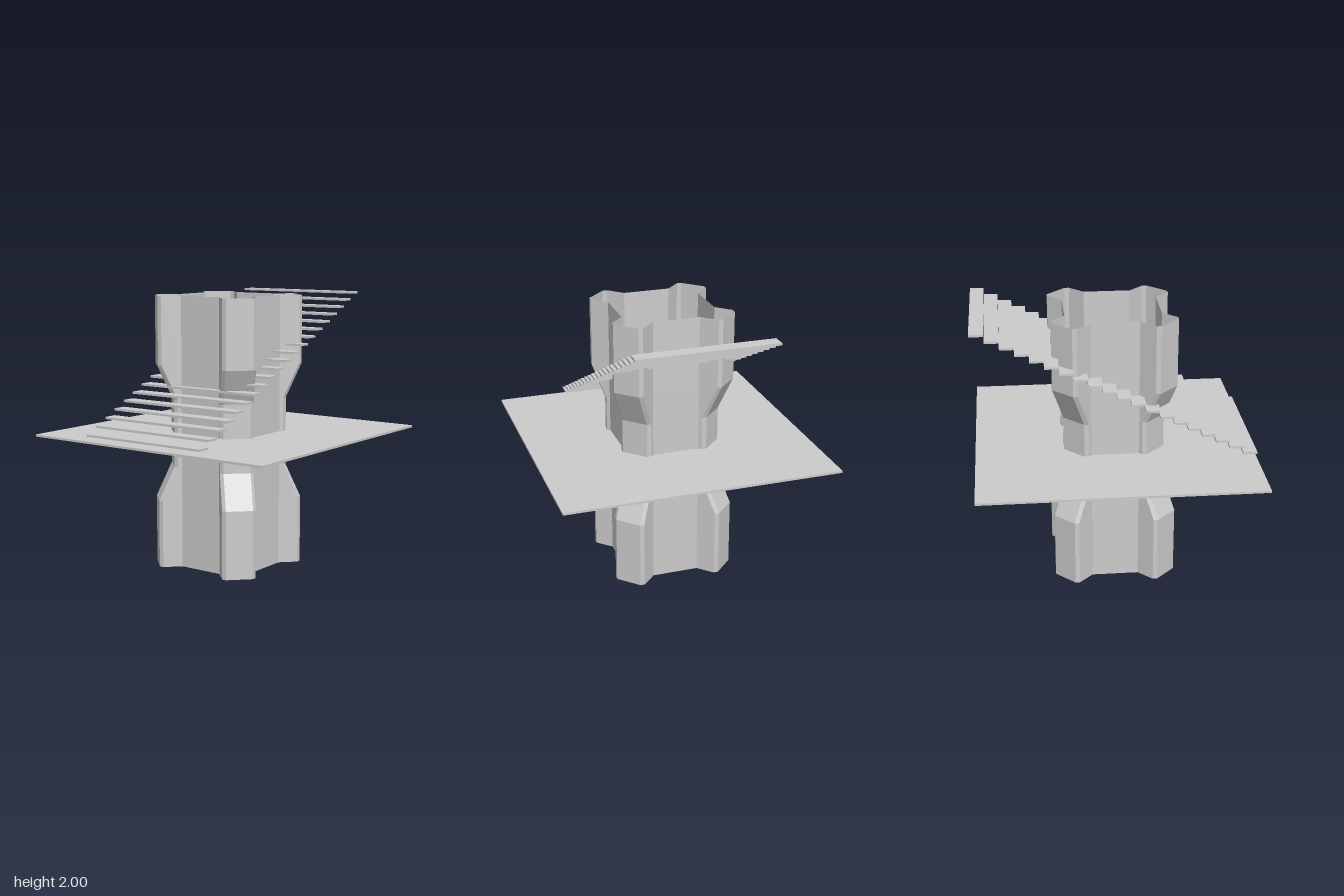
import * as THREE from 'three';

const material = new THREE.MeshStandardMaterial({ color: 0xcccccc, flatShading: true, side: THREE.DoubleSide });

function addMesh(parent, name, geometry) {
  const mesh = new THREE.Mesh(geometry, material);
  mesh.name = name;
  parent.add(mesh);
  return mesh;
}

// Slab with a top and four sides, open underneath
function openSlab(width, height, depth) {
  const geometry = new THREE.BoxGeometry(width, height, depth);
  const index = Array.from(geometry.index.array);
  index.splice(18, 6);
  geometry.setIndex(index);
  geometry.clearGroups();
  return geometry;
}

// Shaft outline: four corner lobes joined by flat recesses; pinch slides the lobes inward
function shaftSection(pinch) {
  const far = 0.443 - pinch, a = 0.272 - pinch, b = 0.305 - pinch;
  const corner = [[0.341, 0.17], [far, a], [far, b], [b, far], [a, far], [0.17, 0.341]];
  const points = [];
  for (let k = 0; k < 4; k++) {
    for (const [x, z] of corner) {
      let p = [x, z];
      for (let t = 0; t < k; t++) p = [-p[1], p[0]];
      points.push(p);
    }
  }
  return points;
}

// Thin open shaft lofted through the levels [height, pinch]
function shaftGeometry(levels) {
  const position = [];
  for (let l = 0; l < levels.length - 1; l++) {
    const [y0, pinch0] = levels[l], [y1, pinch1] = levels[l + 1];
    const low = shaftSection(pinch0), high = shaftSection(pinch1);
    for (let i = 0; i < low.length; i++) {
      const j = (i + 1) % low.length;
      const a = [low[i][0], y0, low[i][1]], b = [high[i][0], y1, high[i][1]];
      const c = [high[j][0], y1, high[j][1]], d = [low[j][0], y0, low[j][1]];
      position.push(...a, ...b, ...c, ...a, ...c, ...d);
    }
  }
  const geometry = new THREE.BufferGeometry();
  geometry.setAttribute('position', new THREE.Float32BufferAttribute(position, 3));
  geometry.computeVertexNormals();
  return geometry;
}

export function createModel() {
  const model = new THREE.Group();
  model.name = 'shaftWithStairs';
  const thickness = 0.016;

  // Shaft with a narrow waist
  const waist = 0.081;
  addMesh(model, 'shaft', shaftGeometry([[0, 0], [0.5, 0], [0.75, waist], [1.25, waist], [1.5, 0], [2, 0]]));

  // Floor
  const floor = new THREE.Group();
  floor.name = 'floor';
  model.add(floor);
  addMesh(floor, 'floorSlab', openSlab(2, thickness, 2)).position.y = 1 - thickness / 2;

  // Thin seams under the floor: one to the middle of each side and one around each corner
  const seams = [
    [[1, 0], [0.36, 0]],
    [[1, 0.53], [0.7, 0.53]],
    [[0.7, 0.53], [0.53, 0.7]],
    [[0.53, 0.7], [0.53, 1]],
  ];
  for (let k = 0; k < 4; k++) {
    const side = new THREE.Group();
    side.name = 'floorSeams';
    side.rotation.y = k * Math.PI / 2;
    floor.add(side);
    for (const [[x0, z0], [x1, z1]] of seams) {
      const length = Math.hypot(x1 - x0, z1 - z0);
      const seam = addMesh(side, 'seam', new THREE.PlaneGeometry(length, thickness));
      seam.position.set((x0 + x1) / 2, 1 - thickness / 2, (z0 + z1) / 2);
      seam.rotation.y = -Math.atan2(z1 - z0, x1 - x0);
    }
  }

  // Floating stairs rising from front to back
  const stairs = new THREE.Group();
  stairs.name = 'stairs';
  model.add(stairs);
  const stepGeometry = openSlab(1, thickness, 0.1);
  for (let i = 0; i < 20; i++) {
    addMesh(stairs, 'step', stepGeometry).position.set(0, 1.05 + 0.05 * i - thickness / 2, 0.95 - 0.1 * i);
  }

  return model;
}
